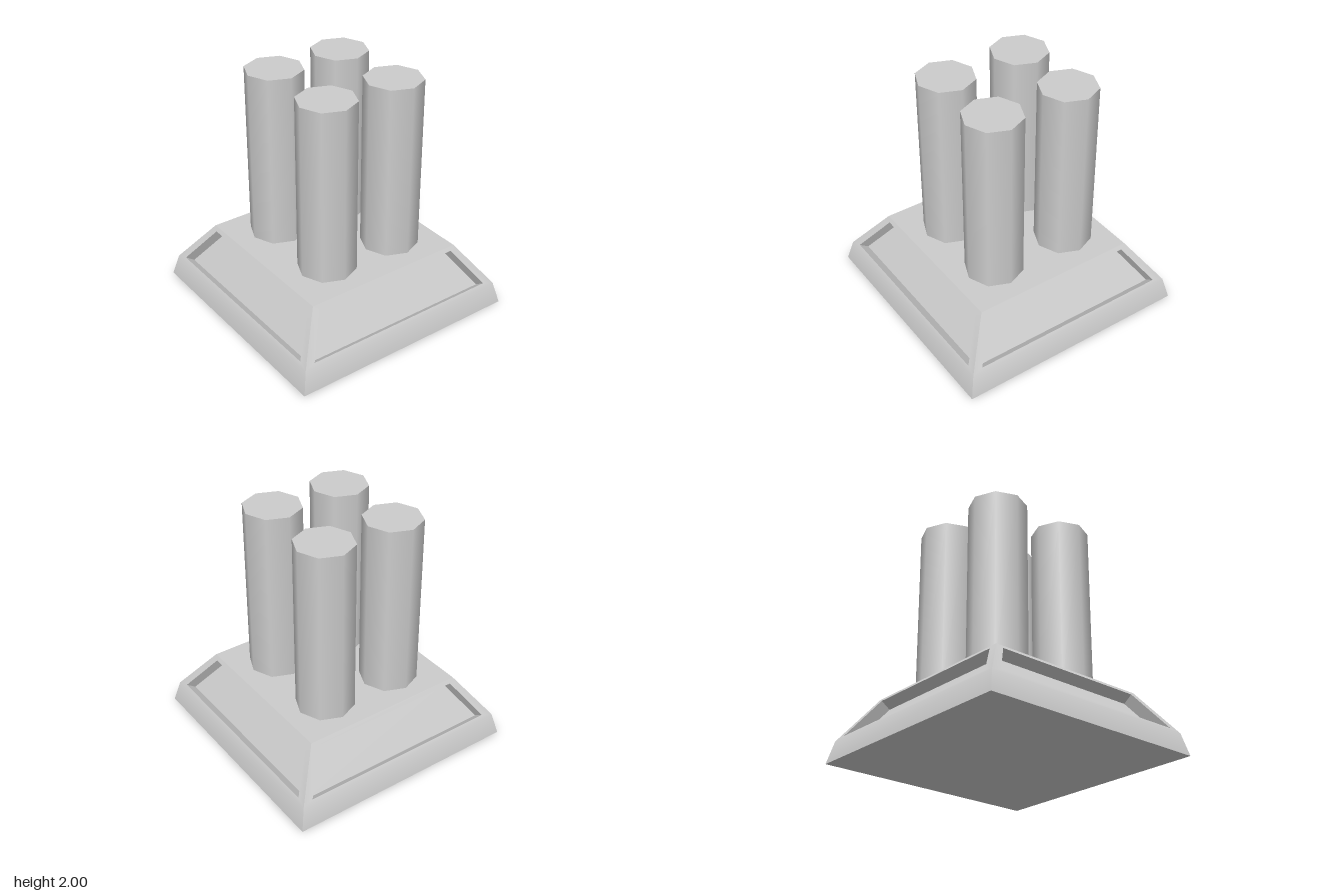
import * as THREE from 'three';
import { toCreasedNormals } from 'three/addons/utils/BufferGeometryUtils.js';

const material = new THREE.MeshStandardMaterial({ color: 0xcccccc });

// Flat-faced geometry from quads (corners counter-clockwise), softened at shallow angles
function quadGeometry(quads) {
  const points = quads.flatMap(([a, b, c, d]) => [a, b, c, a, c, d]);
  const geometry = new THREE.BufferGeometry().setFromPoints(points);
  return toCreasedNormals(geometry, 0.8);
}

// Corners of a symmetric trapezoid: lower left, lower right, upper right, upper left
function trapezoid(lowHalf, lowY, lowZ, topHalf, topY, topZ) {
  const v = (x, y, z) => new THREE.Vector3(x, y, z);
  return [v(-lowHalf, lowY, lowZ), v(lowHalf, lowY, lowZ), v(topHalf, topY, topZ), v(-topHalf, topY, topZ)];
}

// Ring of four quads joining an outer outline to an inner one
function ring(outer, inner) {
  return outer.map((p, i) => {
    const j = (i + 1) % 4;
    return [p, outer[j], inner[j], inner[i]];
  });
}

// One side of the base: lower band, sloping frame and recessed panel
function baseSide() {
  const height = 0.53, ridgeY = 0.185, ridge = 0.955, top = 0.71;
  const slopeZ = (y) => ridge + (top - ridge) * (y - ridgeY) / (height - ridgeY);
  const band = trapezoid(1, 0, 1, ridge, ridgeY, ridge);
  const face = trapezoid(ridge, ridgeY, ridge, top, height, top);
  const rim = trapezoid(0.86, 0.21, slopeZ(0.21), 0.663, 0.5, slopeZ(0.5));
  const inward = new THREE.Vector3(0, top - ridge, ridgeY - height).normalize().multiplyScalar(0.096);
  const panel = rim.map((p) => p.clone().add(inward));
  return [band, ...ring(face, rim), ...ring(rim, panel), panel];
}

export function createModel() {
  const model = new THREE.Group();

  // Square base with four identical recessed sides
  const quads = [];
  const up = new THREE.Vector3(0, 1, 0);
  for (let k = 0; k < 4; k++) {
    for (const quad of baseSide()) quads.push(quad.map((p) => p.clone().applyAxisAngle(up, k * Math.PI / 2)));
  }
  quads.push(trapezoid(0.71, 0.53, 0.71, 0.71, 0.53, -0.71));
  quads.push(trapezoid(1, 0, 1, 1, 0, -1).reverse());
  const base = new THREE.Mesh(quadGeometry(quads), material);
  base.name = 'base';
  model.add(base);

  // Four octagonal columns
  const columns = new THREE.Group();
  columns.name = 'columns';
  const columnGeometry = new THREE.CylinderGeometry(0.24, 0.24, 1.48, 8);
  for (const x of [-0.355, 0.335]) {
    for (const z of [-0.33, 0.305]) {
      const column = new THREE.Mesh(columnGeometry, material);
      column.name = 'column';
      column.position.set(x, 1.26, z);
      columns.add(column);
    }
  }
  model.add(columns);
  return model;
}
